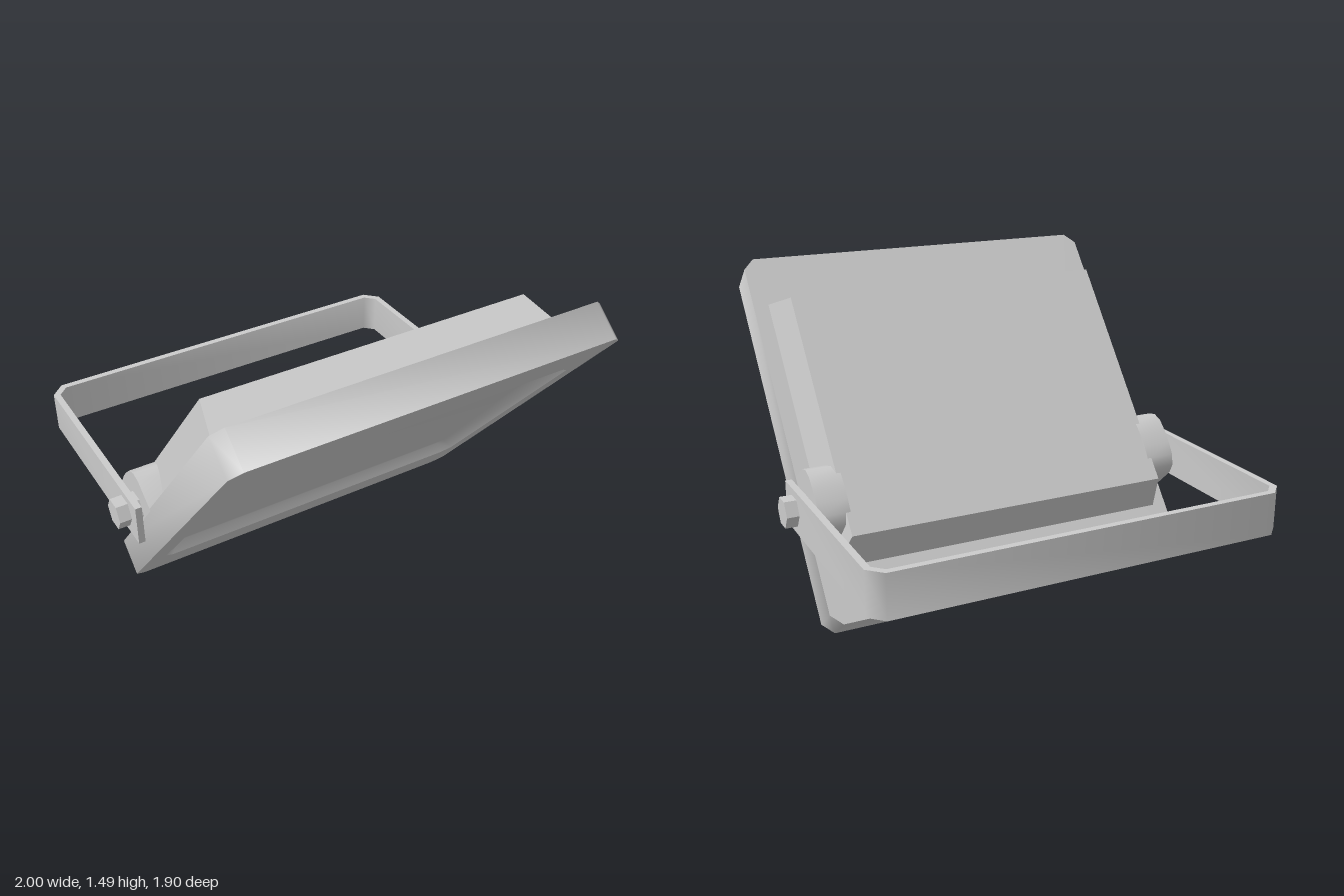
import * as THREE from 'three';
import { toCreasedNormals } from 'three/addons/utils/BufferGeometryUtils.js';

const material = new THREE.MeshStandardMaterial({ color: 0xcccccc });
const CREASE = 0.9; // keeps right angles sharp, smooths the 45 degree bevels

function addMesh(parent, geometry, name) {
  const mesh = new THREE.Mesh(geometry, material);
  mesh.name = name;
  parent.add(mesh);
  return mesh;
}

// Counter-clockwise rectangle with cut corners, from half sizes
function cutRect(w, h, c) {
  return [
    [w, -h + c], [w, h - c], [w - c, h], [-w + c, h],
    [-w, h - c], [-w, -h + c], [-w + c, -h], [w - c, -h],
  ].map(([x, y]) => new THREE.Vector2(x, y));
}

function extrude(shape, depth) {
  return toCreasedNormals(new THREE.ExtrudeGeometry(shape, { depth, bevelEnabled: false }), CREASE);
}

// Shallow dish: sloping rim and flat floor sharing smooth normals
function dishGeometry() {
  const outer = cutRect(0.8, 0.61, 0.045), inner = cutRect(0.755, 0.565, 0.03);
  const positions = [], index = [];
  outer.forEach((p) => positions.push(p.x, p.y, 0));
  inner.forEach((p) => positions.push(p.x, p.y, -0.045));
  for (let i = 0; i < 8; i++) {
    const j = (i + 1) % 8;
    index.push(i, j, 8 + i, j, 8 + j, 8 + i);
    if (i > 0 && i < 7) index.push(8, 8 + i, 8 + j);
  }
  const geometry = new THREE.BufferGeometry();
  geometry.setAttribute('position', new THREE.Float32BufferAttribute(positions, 3));
  geometry.setIndex(index);
  geometry.computeVertexNormals();
  return geometry;
}

// Box whose back face is smaller than its front face
function housingGeometry() {
  const geometry = new THREE.BoxGeometry(1.64, 1.29, 0.2);
  const p = geometry.attributes.position;
  for (let i = 0; i < p.count; i++) {
    if (p.getZ(i) < 0) p.setXY(i, p.getX(i) * 0.77 / 0.82, p.getY(i) * 0.57 / 0.645);
  }
  geometry.computeVertexNormals();
  return geometry;
}

export function createModel() {
  const model = new THREE.Group();
  model.name = 'floodlight';

  // Tilted lamp head, origin at the centre of its front face
  const head = new THREE.Group();
  head.name = 'lampHead';
  head.position.set(0, 0.695, 0.3875);
  head.rotation.x = 0.684;
  model.add(head);

  const frameShape = new THREE.Shape(cutRect(0.89, 0.89, 0.05));
  frameShape.holes.push(new THREE.Path(cutRect(0.8, 0.61, 0.045).reverse()));
  addMesh(head, extrude(frameShape, 0.17), 'frontFrame').position.z = -0.17;
  addMesh(head, dishGeometry(), 'reflectorDish');
  addMesh(head, housingGeometry(), 'rearHousing').position.z = -0.272;

  // Pivot lugs: rounded profile (distance behind the front face, height)
  const lugShape = new THREE.Shape([
    [0.16, -0.167], [0.30, -0.157], [0.345, -0.135], [0.372, -0.09], [0.38, -0.03],
    [0.38, 0.03], [0.372, 0.09], [0.345, 0.135], [0.30, 0.157], [0.16, 0.167],
  ].map(([d, h]) => new THREE.Vector2(d, h)));
  const lugGeometry = extrude(lugShape, 0.14).rotateY(Math.PI / 2).translate(-0.07, -0.373, 0);
  for (const side of [1, -1]) {
    addMesh(head, lugGeometry, side > 0 ? 'leftPivotLug' : 'rightPivotLug').position.x = side * 0.82;
  }

  // U-shaped mounting bracket with cut corners
  const half = [[0.945, -0.1], [0.945, 0.893], [0.883, 0.955]];
  const halfInner = [[0.87, 0.925], [0.915, 0.88], [0.915, -0.1]];
  const mirror = (points) => points.map(([x, y]) => [-x, y]).reverse();
  const outline = [...half, ...mirror(half), ...mirror(halfInner), ...halfInner];
  const bracketShape = new THREE.Shape(outline.map(([x, y]) => new THREE.Vector2(x, y)));
  const bracket = addMesh(model, extrude(bracketShape, 0.195), 'mountingBracket');
  bracket.rotation.x = -Math.PI / 2;
  bracket.position.y = 0.45;

  // Hexagonal pivot bolts
  const boltGeometry = new THREE.CylinderGeometry(0.07, 0.07, 0.14, 6).toNonIndexed();
  boltGeometry.rotateZ(Math.PI / 2).computeVertexNormals();
  for (const side of [1, -1]) {
    addMesh(model, boltGeometry, side > 0 ? 'leftBolt' : 'rightBolt').position.set(side * 0.93, 0.55, -0.025);
  }
  return model;
}
